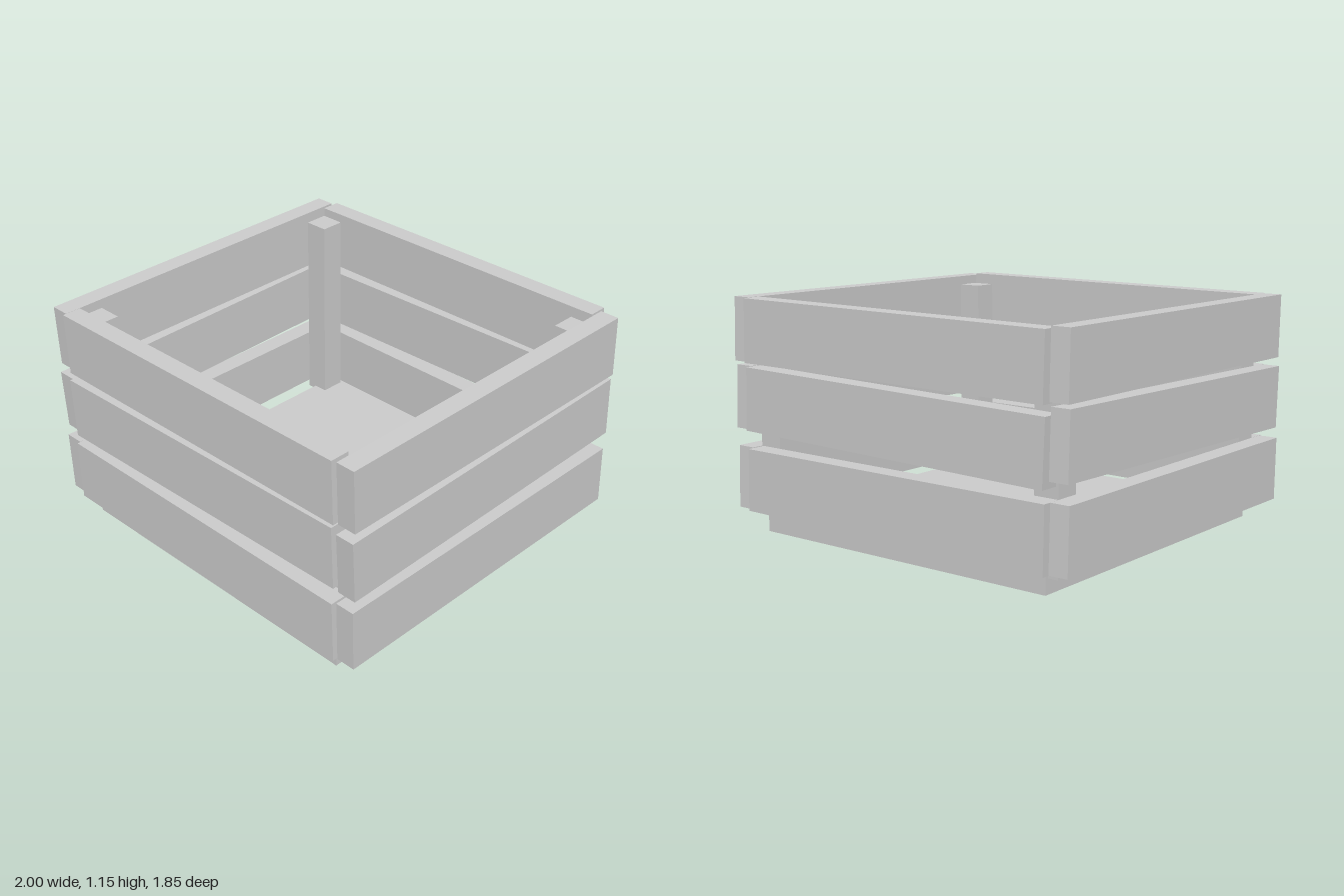
import * as THREE from 'three';

const material = new THREE.MeshStandardMaterial({ color: 0xcccccc, flatShading: true });

// Slightly crooked slat outlines: bottom left, bottom right, top right, top left
const slats = [
  ['lowerSlat', [[-0.893, 0.105], [0.9, 0.11], [0.89, 0.42], [-0.9, 0.42]]],
  ['middleSlat', [[-0.888, 0.475], [0.9, 0.51], [0.888, 0.822], [-0.902, 0.786]]],
  ['upperSlat', [[-0.89, 0.832], [0.9, 0.842], [0.89, 1.155], [-0.9, 1.145]]],
];

function box(name, w, h, d, x, y, z) {
  const mesh = new THREE.Mesh(new THREE.BoxGeometry(w, h, d), material);
  mesh.name = name;
  mesh.position.set(x, y, z);
  return mesh;
}

// One wall of three slats, running along x and centred on z = 0
function wall(name) {
  const group = new THREE.Group();
  group.name = name;
  for (const [slatName, corners] of slats) {
    const shape = new THREE.Shape(corners.map(([x, y]) => new THREE.Vector2(x, y)));
    const geometry = new THREE.ExtrudeGeometry(shape, { depth: 0.098, bevelEnabled: false });
    geometry.translate(0, 0, -0.049);
    const mesh = new THREE.Mesh(geometry, material);
    mesh.name = slatName;
    group.add(mesh);
  }
  return group;
}

export function createModel() {
  const crate = new THREE.Group();
  crate.name = 'crate';

  // Solid floor panel
  crate.add(box('floor', 1.695, 0.09, 1.695, -0.002, 0.045, 0.002));

  for (const s of [1, -1]) {
    // Front and back walls
    const cross = wall(s > 0 ? 'frontWall' : 'backWall');
    cross.position.z = s * 0.875;
    crate.add(cross);

    // Side walls, turned a quarter so the slats rise towards the back
    const side = wall(s > 0 ? 'leftWall' : 'rightWall');
    side.rotation.y = Math.PI / 2;
    side.position.set(s * 0.95, 0, 0.006);
    crate.add(side);

    // Inner corner posts
    for (const t of [1, -1]) {
      const name = (t > 0 ? 'front' : 'back') + (s > 0 ? 'Left' : 'Right') + 'Post';
      crate.add(box(name, 0.126, 1.028, 0.126, s * 0.837, 0.586, t * 0.763));
    }
  }
  return crate;
}
